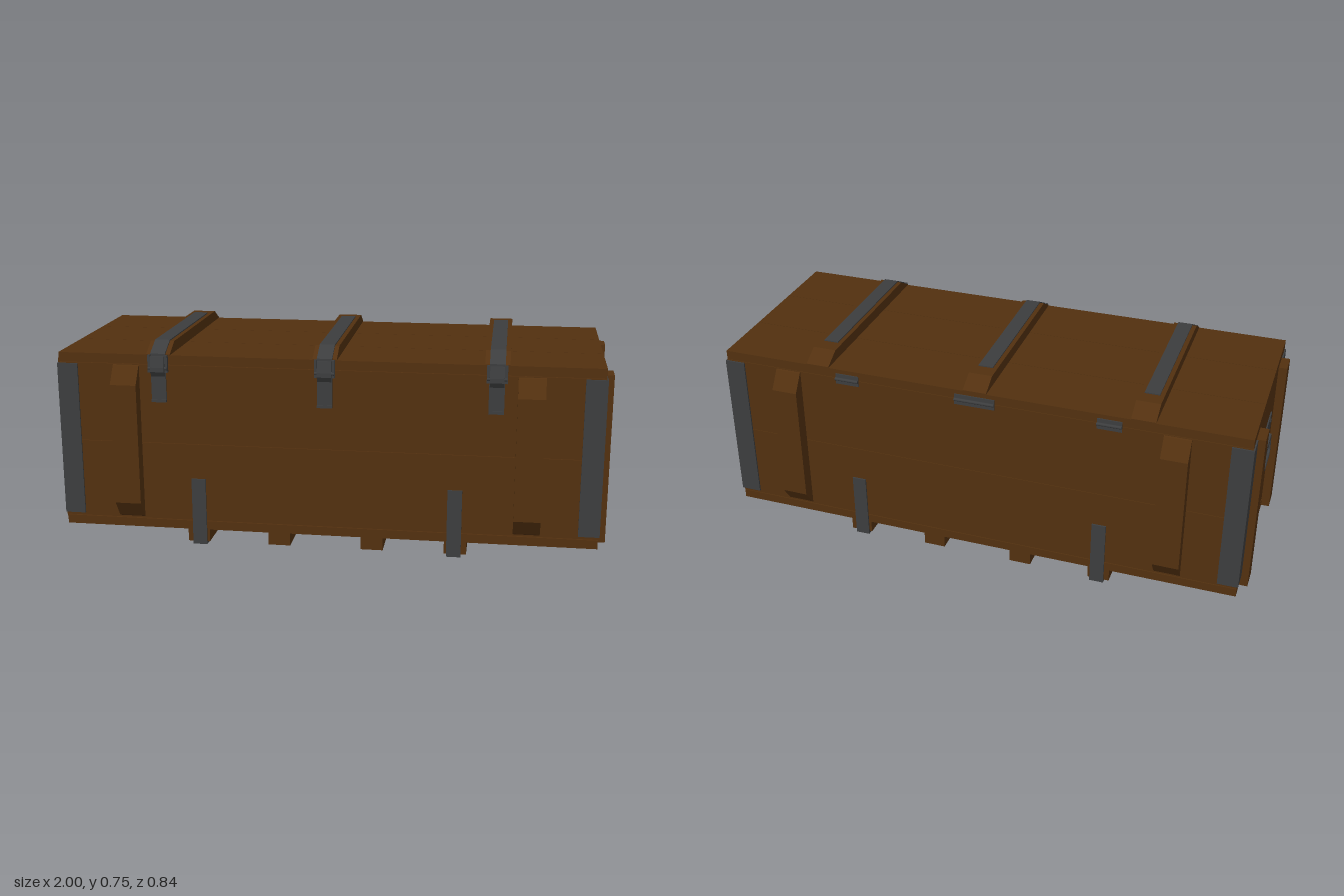
import * as THREE from 'three';

export function createModel() {
  const wood = new THREE.MeshStandardMaterial({ color: 0x52300f });
  wood.name = 'brown wood';
  const steel = new THREE.MeshStandardMaterial({ color: 0x3c3d3e });
  steel.name = 'dark steel';
  const root = new THREE.Group();
  root.name = 'crate';

  function add(name, geometry, material) {
    const mesh = new THREE.Mesh(geometry, material);
    mesh.name = name;
    root.add(mesh);
    return mesh;
  }
  // Box given by its limits on each axis
  function box(name, mat, x0, x1, y0, y1, z0, z1) {
    const g = new THREE.BoxGeometry(Math.abs(x1 - x0), Math.abs(y1 - y0), Math.abs(z1 - z0));
    g.translate((x0 + x1) / 2, (y0 + y1) / 2, (z0 + z1) / 2);
    return add(name, g, mat);
  }
  // Side profile of [z, y] points, extruded along x about a centre
  function profile(name, mat, points, width, x) {
    const shape = new THREE.Shape(points.map(([z, y]) => new THREE.Vector2(z, y)));
    const g = new THREE.ExtrudeGeometry(shape, { depth: width, bevelEnabled: false });
    g.translate(0, 0, -width / 2);
    g.rotateY(-Math.PI / 2);
    g.translate(x, 0, 0);
    return add(name, g, mat);
  }

  // Floor and lid, three planks each
  for (const [z0, z1] of [[-0.37, -0.126], [-0.124, 0.124], [0.126, 0.37]]) {
    box('floorPlank', wood, -0.97, 0.97, 0.055, 0.087, z0, z1);
    box('lidPlank', wood, -0.97, 0.97, 0.672, 0.706, z0, z1);
  }

  // Walls, two planks high
  for (const [y0, y1] of [[0.09, 0.379], [0.381, 0.67]]) {
    for (const s of [-1, 1]) {
      box('sidePlank', wood, -0.97, 0.97, y0, y1, s * 0.34, s * 0.37);
      box('endPlank', wood, s * 0.94, s * 0.969, y0, y1, -0.34, 0.34);
    }
  }

  for (const sx of [-1, 1]) {
    for (const sz of [-1, 1]) {
      // End battens
      box('endBatten', wood, sx * 0.969, sx * 1.0, 0.055, 0.668, sz * 0.22, sz * 0.3);
      // Angle irons on the corners
      box('cornerIron', steel, sx * 0.9, sx * 0.975, 0.1, 0.667, sz * 0.37, sz * 0.376);
      box('cornerIron', steel, sx * 0.969, sx * 0.975, 0.1, 0.667, sz * 0.3, sz * 0.37);
      // Chamfered upright battens
      profile('sideBatten', wood, [
        [sz * 0.369, 0.095], [sz * 0.375, 0.1], [sz * 0.418, 0.16],
        [sz * 0.418, 0.602], [sz * 0.375, 0.665], [sz * 0.369, 0.668],
      ], 0.095, sx * 0.72);
    }

    // Outer runners wrapped by a steel U-strap, plain inner runners
    box('runner', wood, sx * 0.43, sx * 0.51, 0.009, 0.055, -0.37, 0.37);
    box('runner', wood, sx * 0.13, sx * 0.21, 0.009, 0.055, -0.37, 0.37);
    profile('runnerStrap', steel, [
      [-0.377, 0], [0.377, 0], [0.377, 0.25], [0.371, 0.25],
      [0.371, 0.008], [-0.371, 0.008], [-0.371, 0.25], [-0.377, 0.25],
    ], 0.052, sx * 0.465);

    // Handle plate with rivets
    box('handlePlate', steel, sx * 0.969, sx * 0.974, 0.396, 0.536, -0.122, 0.122);
    for (const z of [-0.097, 0.097]) {
      for (const y of [0.42, 0.514]) {
        const g = new THREE.CylinderGeometry(0.008, 0.008, 0.004, 10);
        g.rotateZ(Math.PI / 2);
        g.translate(sx * 0.975, y, z);
        add('handleRivet', g, steel);
      }
    }
    // Handle ring and the clip that holds it
    const ring = [
      [-0.06, 0.472], [0.06, 0.472], [0.072, 0.46], [0.072, 0.412],
      [0.055, 0.395], [-0.055, 0.395], [-0.072, 0.412], [-0.072, 0.46],
    ].map(([z, y]) => new THREE.Vector3(sx * (0.98 + (0.472 - y) * 0.05), y, z));
    const path = new THREE.CurvePath();
    ring.forEach((p, i) => path.add(new THREE.LineCurve3(p, ring[(i + 1) % ring.length])));
    add('handle', new THREE.TubeGeometry(path, 64, 0.006, 8, true), steel);
    box('handleClip', steel, sx * 0.973, sx * 0.987, 0.46, 0.482, -0.06, 0.06);
  }

  // Small square stud on the right end
  box('endStud', steel, 0.968, 0.973, 0.243, 0.268, 0.13, 0.154);

  for (const x of [-0.6, 0, 0.6]) {
    // Lid battens with sloped ends
    profile('lidBatten', wood, [
      [-0.37, 0.705], [0.37, 0.705], [0.37, 0.709], [0.305, 0.745], [-0.305, 0.745], [-0.37, 0.709],
    ], 0.086, x);
    // Strap over the batten, down its slope to the latch
    profile('lidStrap', steel, [
      [-0.25, 0.744], [0.304, 0.744], [0.37, 0.708], [0.37, 0.665],
      [0.376, 0.665], [0.376, 0.712], [0.306, 0.749], [-0.25, 0.749],
    ], 0.054, x);
    // Latch: lower plate, lever and hooks
    box('latchPlate', steel, x - 0.027, x + 0.027, 0.535, 0.668, 0.369, 0.376);
    profile('latchLever', steel, [
      [0.375, 0.63], [0.38, 0.63], [0.392, 0.648], [0.392, 0.664], [0.384, 0.704], [0.375, 0.704],
    ], 0.05, x);
    for (const s of [-1, 1]) {
      box('latchHook', steel, x + s * 0.026, x + s * 0.036, 0.645, 0.708, 0.371, 0.384);
    }
    const pin = new THREE.CylinderGeometry(0.007, 0.007, 0.07, 10);
    pin.rotateZ(Math.PI / 2);
    pin.translate(x, 0.66, 0.38);
    add('latchPin', pin, steel);
    box('latchFoot', steel, x - 0.027, x + 0.027, 0.535, 0.545, 0.375, 0.381);
  }

  // Back hinges: wide one in the middle, narrow ones outside
  for (const [x, w] of [[-0.485, 0.088], [0, 0.148], [0.485, 0.088]]) {
    box('hingeLeaf', steel, x - w / 2, x + w / 2, 0.65, 0.69, -0.374, -0.369);
    const barrel = new THREE.CylinderGeometry(0.006, 0.006, w, 10);
    barrel.rotateZ(Math.PI / 2);
    barrel.translate(x, 0.671, -0.377);
    add('hingeBarrel', barrel, steel);
  }

  return root;
}
